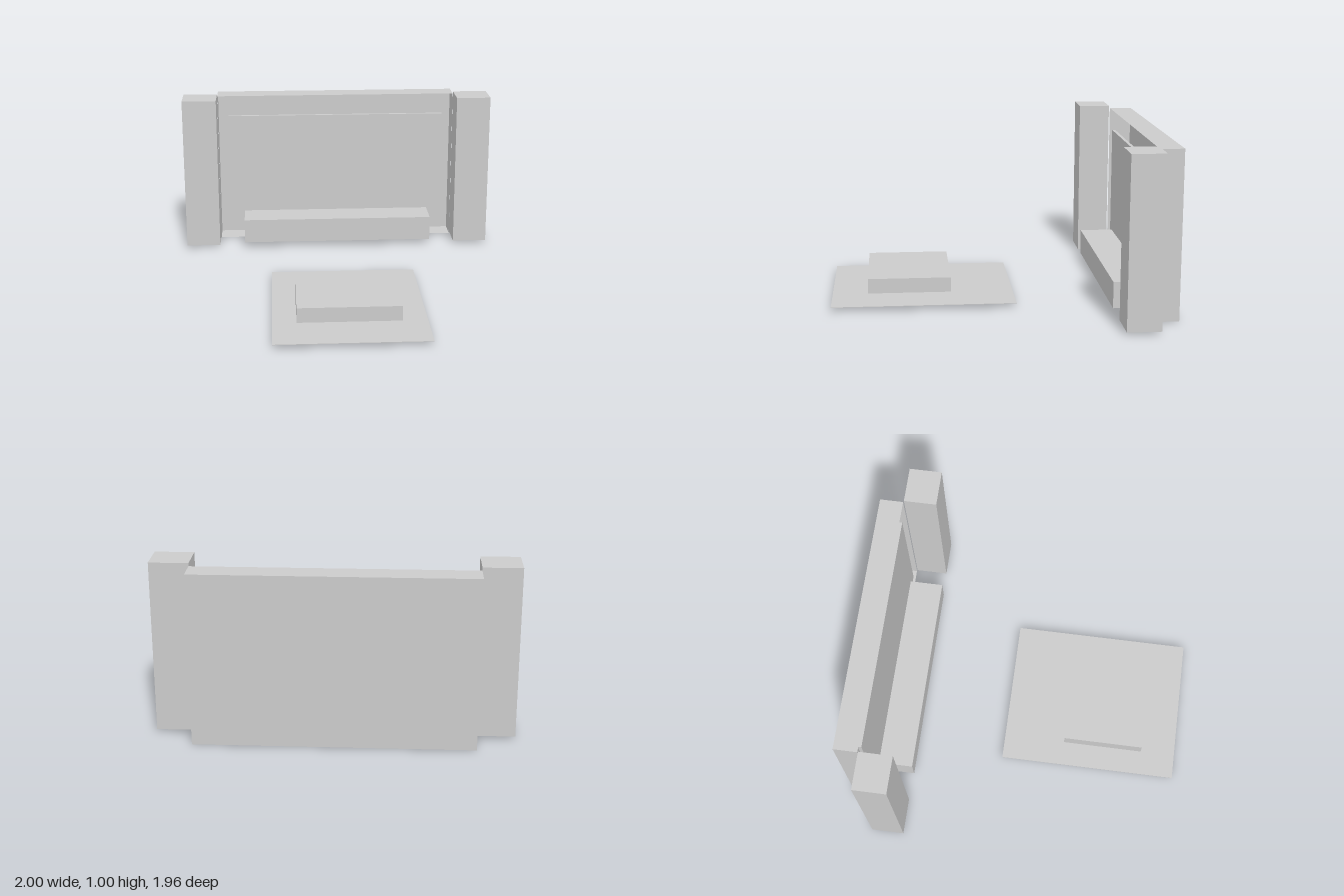
import * as THREE from 'three';

const grey = new THREE.MeshStandardMaterial({ color: 0xcccccc, flatShading: true });
const greyOpen = new THREE.MeshStandardMaterial({ color: 0xcccccc, flatShading: true, side: THREE.DoubleSide });

// Box given by its extents along each axis
function block(name, [x0, x1], [y0, y1], [z0, z1], material = grey) {
  const mesh = new THREE.Mesh(new THREE.BoxGeometry(x1 - x0, y1 - y0, z1 - z0), material);
  mesh.position.set((x0 + x1) / 2, (y0 + y1) / 2, (z0 + z1) / 2);
  mesh.name = name;
  return mesh;
}

export function createModel() {
  const model = new THREE.Group();
  model.name = 'homeCinema';

  // Television housing: a thin shell, open at the front
  const housing = block('televisionHousing', [-0.781, 0.781], [0, 0.985], [-0.98, -0.841], greyOpen);
  const index = Array.from(housing.geometry.index.array);
  index.splice(24, 6); // remove the +z face
  housing.geometry.setIndex(index);
  housing.geometry.clearGroups();
  model.add(housing);

  // Screen set just inside the opening
  model.add(block('screen', [-0.712, 0.712], [0.06, 0.848], [-0.868, -0.848]));

  // Tall speakers on both sides
  for (const [name, s] of [['leftSpeaker', 1], ['rightSpeaker', -1]]) {
    const speaker = block(name, [0.781, 1], [0.017, 1], [-0.835, -0.64]);
    speaker.position.x *= s;
    model.add(speaker);
  }

  // Low cabinet below the screen
  model.add(block('cabinet', [-0.616, 0.619], [0.035, 0.19], [-0.84, -0.632]));

  // Rug and coffee table
  model.add(block('rug', [-0.438, 0.45], [0.025, 0.028], [-0.096, 0.98]));
  model.add(block('coffeeTable', [-0.3, 0.297], [0.06, 0.148], [0.28, 0.767]));

  return model;
}
